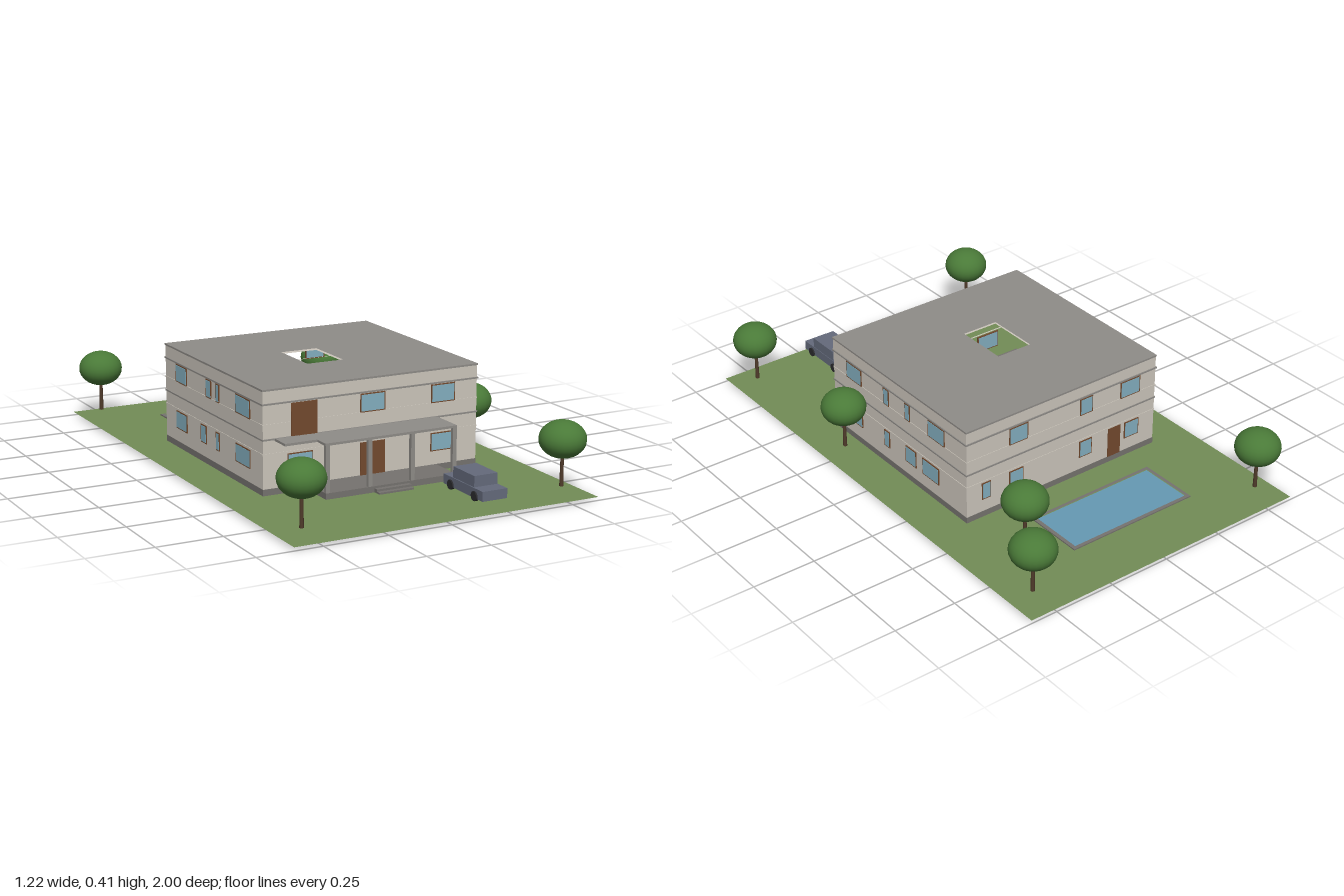
import * as THREE from 'three';

const mat = (color, extra = {}) => new THREE.MeshStandardMaterial({ color, ...extra });
const M = {
  grass: mat(0x728c56, { side: THREE.DoubleSide }),
  wall: mat(0xccc6bc),
  roof: mat(0x8f8c88),
  plinth: mat(0x76736f),
  wood: mat(0x734a2e),
  glass: mat(0x84afc0),
  water: mat(0x6699b3),
  skylight: mat(0x7f8f83),
  leaf: mat(0x4a7a38),
  trunk: mat(0x4f3a2a),
  car: mat(0x646a7b),
  tyre: mat(0x2b2b2e),
};

// Box given by its lower and upper limits on each axis
function box(parent, name, material, [x0, x1], [y0, y1], [z0, z1]) {
  const mesh = new THREE.Mesh(new THREE.BoxGeometry(x1 - x0, y1 - y0, z1 - z0), material);
  mesh.position.set((x0 + x1) / 2, (y0 + y1) / 2, (z0 + z1) / 2);
  mesh.name = name;
  parent.add(mesh);
  return mesh;
}

// Horizontal outline (x, z), optionally with a hole, raised from y0 to y1
function slab(parent, name, material, points, y0, y1, hole) {
  const flat = (pts) => pts.map(([x, z]) => new THREE.Vector2(x, -z));
  const shape = new THREE.Shape(flat(points));
  if (hole) shape.holes.push(new THREE.Path(flat(hole)));
  const geo = new THREE.ExtrudeGeometry(shape, { depth: y1 - y0, bevelEnabled: false });
  geo.rotateX(-Math.PI / 2).translate(0, y0, 0);
  const mesh = new THREE.Mesh(geo, material);
  mesh.name = name;
  parent.add(mesh);
}

const rect = (x0, x1, z0, z1) => [[x0, z0], [x1, z0], [x1, z1], [x0, z1]];
const grow = (d) => rect(-0.447 - d, 0.443 + d, -0.41 - d, 0.44 + d);
const GROUND = 0.013;
const UP = [0.275, 0.345], LOW = [0.09, 0.16], DOOR_UP = [0.222, 0.345], DOOR_LOW = [0.038, 0.162];

// Window or door on a wall: axis is the wall's normal, at its position
function opening(parent, axis, at, range, height, door) {
  const g = new THREE.Group();
  g.name = door ? 'door' : 'window';
  const layer = (name, m, inset, depth) => {
    const a = [range[0] + inset, range[1] - inset], n = [at - depth, at + depth];
    const y = [height[0] + inset, height[1] - inset];
    if (axis === 'z') box(g, name, m, a, y, n);
    else box(g, name, m, n, y, a);
  };
  layer(door ? 'doorPanel' : 'windowFrame', M.wood, 0, 0.003);
  if (!door) layer('windowPane', M.glass, 0.004, 0.004);
  parent.add(g);
}

function house() {
  const g = new THREE.Group();
  g.name = 'house';
  const shaft = rect(-0.12, 0.03, -0.06, 0.155);
  slab(g, 'plinth', M.plinth, grow(0.001), GROUND + 0.001, 0.038, shaft);
  slab(g, 'walls', M.wall, grow(0), 0.038, 0.398, shaft);
  slab(g, 'roof', M.roof, grow(0.002), 0.398, 0.405, shaft);
  // String courses around the walls
  for (const [y, m, d] of [[0.35, M.roof, 0.004], [0.22, M.roof, 0.003], [0.274, M.wall, 0.002], [0.166, M.wall, 0.002]])
    slab(g, 'stringCourse', m, grow(d), y - 0.003, y + 0.003, grow(-0.005));

  // Front
  const F = 0.44, B = -0.41, R = 0.443, L = -0.447;
  opening(g, 'z', F, [-0.335, -0.23], DOOR_UP, true);
  opening(g, 'z', F, [-0.053, 0.05], DOOR_LOW, true);
  for (const r of [[-0.053, 0.05], [0.245, 0.347]]) opening(g, 'z', F, r, UP);
  for (const r of [[-0.35, -0.247], [0.245, 0.347]]) opening(g, 'z', F, r, LOW);
  // Back
  for (const r of [[0.165, 0.25], [-0.14, -0.08], [-0.37, -0.275]]) opening(g, 'z', B, r, UP);
  for (const r of [[0.335, 0.375], [0.185, 0.25], [-0.14, -0.08], [-0.37, -0.3]]) opening(g, 'z', B, r, LOW);
  opening(g, 'z', B, [-0.28, -0.22], DOOR_LOW, true);
  // Sides
  for (const r of [[0.25, 0.35], [0.07, 0.105], [-0.065, -0.033], [-0.28, -0.178]]) opening(g, 'x', R, r, UP);
  for (const r of [[0.25, 0.35], [0.07, 0.105], [-0.1, -0.033], [-0.243, -0.14]]) opening(g, 'x', R, r, LOW);
  for (const r of [[0.22, 0.34], [0.05, 0.08], [-0.035, 0.01], [-0.31, -0.21]]) opening(g, 'x', L, r, UP);
  for (const r of [[0.22, 0.34], [0.05, 0.08], [-0.085, -0.035], [-0.31, -0.21]]) opening(g, 'x', L, r, LOW);

  // Light well with a glazed floor, doors and a small pool below
  box(g, 'lightWellFloor', M.skylight, [-0.12, 0.03], [0.212, 0.22], [-0.06, 0.155]);
  opening(g, 'z', -0.06, [-0.115, -0.08], DOOR_UP, true);
  opening(g, 'z', 0.155, [-0.01, 0.025], DOOR_UP, true);
  box(g, 'courtyardPool', M.water, [-0.095, 0.005], [0, 0.016], [-0.02, 0.11]);
  return g;
}

function porch() {
  const g = new THREE.Group();
  g.name = 'porch';
  box(g, 'terrace', M.plinth, [-0.27, 0.27], [0.015, 0.038], [0.44, 0.585]);
  box(g, 'lowerStep', M.plinth, [-0.072, 0.07], [0.015, 0.022], [0.585, 0.62]);
  box(g, 'upperStep', M.plinth, [-0.072, 0.07], [0.022, 0.03], [0.585, 0.603]);
  const outline = [[-0.4, 0.44], [0.27, 0.44], [0.27, 0.585], [-0.272, 0.585], [-0.272, 0.522], [-0.4, 0.522]];
  slab(g, 'canopyAndBalcony', M.roof, outline, 0.213, 0.222);
  for (const x of [-0.263, -0.09, 0.086, 0.262])
    box(g, 'column', M.roof, [x - 0.008, x + 0.008], [0.038, 0.213], [0.57, 0.585]);
  return g;
}

function pool() {
  const g = new THREE.Group();
  g.name = 'pool';
  const inner = rect(-0.302, 0.225, -0.763, -0.545);
  slab(g, 'poolCurb', M.plinth, rect(-0.315, 0.24, -0.777, -0.532), GROUND + 0.001, 0.019, inner);
  box(g, 'water', M.water, [-0.302, 0.225], [0, 0.0155], [-0.763, -0.545]);
  return g;
}

function tree(x, z) {
  const g = new THREE.Group();
  g.name = 'tree';
  const trunk = new THREE.Mesh(new THREE.CylinderGeometry(0.006, 0.008, 0.13, 10), M.trunk);
  trunk.position.y = 0.103;
  trunk.name = 'trunk';
  const crown = new THREE.Mesh(new THREE.SphereGeometry(0.087, 24, 16), M.leaf);
  crown.scale.y = 0.8;
  crown.position.y = 0.213;
  crown.name = 'crown';
  g.add(trunk, crown);
  g.position.set(x, 0, z);
  return g;
}

function car() {
  const g = new THREE.Group();
  g.name = 'car';
  box(g, 'carBody', M.car, [0.15, 0.252], [0.048, 0.084], [0.694, 0.955]);
  box(g, 'carCabin', M.car, [0.154, 0.25], [0.084, 0.125], [0.752, 0.893]);
  for (const x of [0.151, 0.251]) for (const z of [0.744, 0.904]) {
    const wheel = new THREE.Mesh(new THREE.CylinderGeometry(0.018, 0.018, 0.013, 16), M.tyre);
    wheel.rotation.z = Math.PI / 2;
    wheel.position.set(x, 0.056, z);
    wheel.name = 'wheel';
    g.add(wheel);
  }
  return g;
}

export function createModel() {
  const model = new THREE.Group();
  model.name = 'houseWithGarden';
  const lawn = new THREE.Mesh(new THREE.PlaneGeometry(1.22, 2).rotateX(-Math.PI / 2), M.grass);
  lawn.position.y = GROUND;
  lawn.name = 'lawn';
  model.add(lawn, house(), porch(), pool(), car());
  for (const [x, z] of [[-0.527, -0.895], [0.523, -0.895], [0.365, -0.65], [0.523, 0.26], [-0.527, 0.893], [0.523, 0.893]])
    model.add(tree(x, z));
  return model;
}
